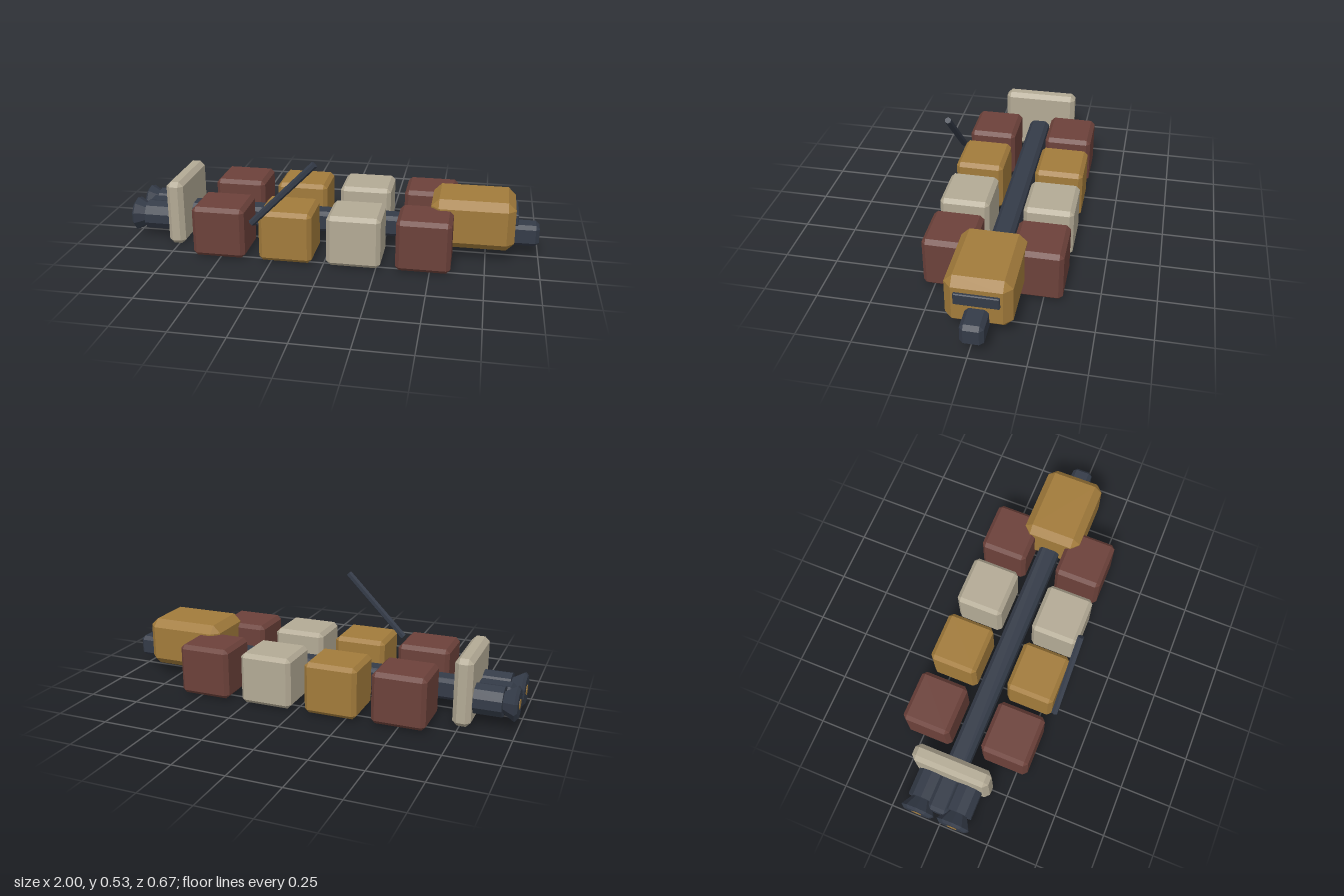
import * as THREE from 'three';
import { ConvexGeometry } from 'three/addons/geometries/ConvexGeometry.js';

const mat = (name, color) => {
  const m = new THREE.MeshStandardMaterial({ color, flatShading: true });
  m.name = name;
  return m;
};

// Box with flat chamfers on all edges, given by its extents
function chamferBox(w, h, d, c) {
  const pts = [];
  for (const sx of [-1, 1]) for (const sy of [-1, 1]) for (const sz of [-1, 1]) {
    for (let axis = 0; axis < 3; axis++) {
      const half = [w / 2, h / 2, d / 2].map((v, i) => (i === axis ? v : v - c));
      pts.push(new THREE.Vector3(sx * half[0], sy * half[1], sz * half[2]));
    }
  }
  return new ConvexGeometry(pts);
}

// Ten-sided drum along x, from x0 (radius r0) to x1 (radius r1)
function drum(x0, x1, r0, r1) {
  return new THREE.CylinderGeometry(r0, r1, x1 - x0, 10)
    .rotateY(Math.PI / 2)
    .rotateZ(Math.PI / 2)
    .translate((x0 + x1) / 2, 0, 0);
}

export function createModel() {
  const root = new THREE.Group();
  root.name = 'cargoHauler';
  const maroon = mat('maroon', 0x6c413a);
  const ochre = mat('ochre', 0xa27b3b);
  const bone = mat('bone', 0xb3aa95);
  const slate = mat('slate', 0x343b48);
  const midZ = -0.018;

  const add = (name, geometry, material, x = 0, y = 0, z = 0, parent = root) => {
    const mesh = new THREE.Mesh(geometry, material);
    mesh.name = name;
    mesh.position.set(x, y, z);
    parent.add(mesh);
    return mesh;
  };

  // Long central beam
  add('spine', chamferBox(1.96, 0.104, 0.104, 0.018), slate, 0.018, 0.116, midZ);

  // Command cabin with its window and the rear shield
  add('cabin', chamferBox(0.395, 0.239, 0.295, 0.037), ochre, 0.683, 0.183, midZ);
  add('window', chamferBox(0.018, 0.056, 0.198, 0.004), slate, 0.885, 0.215, midZ);
  add('shield', chamferBox(0.084, 0.323, 0.38, 0.022), bone, -0.758, 0.163, midZ);

  // Two rows of cargo containers
  const cargo = chamferBox(0.254, 0.248, 0.237, 0.019);
  [maroon, ochre, bone, maroon].forEach((material, i) => {
    for (const side of [-1, 1]) {
      add('container', cargo, material, -0.502 + i * 0.3235, 0.134, midZ + side * 0.2);
    }
  });

  // Twin engines: housing, flared bell, end rim and glowing core
  for (const side of [-1, 1]) {
    const engine = new THREE.Group();
    engine.name = 'engine';
    engine.position.set(0, 0.117, midZ + side * 0.09);
    root.add(engine);
    add('housing', drum(-0.93, -0.79, 0.0725, 0.0725), slate, 0, 0, 0, engine);
    add('bell', drum(-0.985, -0.92, 0.084, 0.045), slate, 0, 0, 0, engine);
    add('rim', drum(-0.998, -0.985, 0.068, 0.084), slate, 0, 0, 0, engine);
    add('core', drum(-1.0, -0.99, 0.025, 0.025), ochre, 0, 0, 0, engine);
  }

  // Slanted hexagonal antenna
  const from = new THREE.Vector3(-0.327, 0.211, 0.324);
  const to = new THREE.Vector3(-0.026, 0.516, 0.324);
  const dir = to.clone().sub(from);
  const rod = new THREE.CylinderGeometry(0.0165, 0.0165, dir.length(), 6).rotateY(Math.PI / 6);
  const mid = from.clone().add(to).multiplyScalar(0.5);
  add('antenna', rod, slate, mid.x, mid.y, mid.z).rotation.z = -Math.atan2(dir.x, dir.y);

  return root;
}
